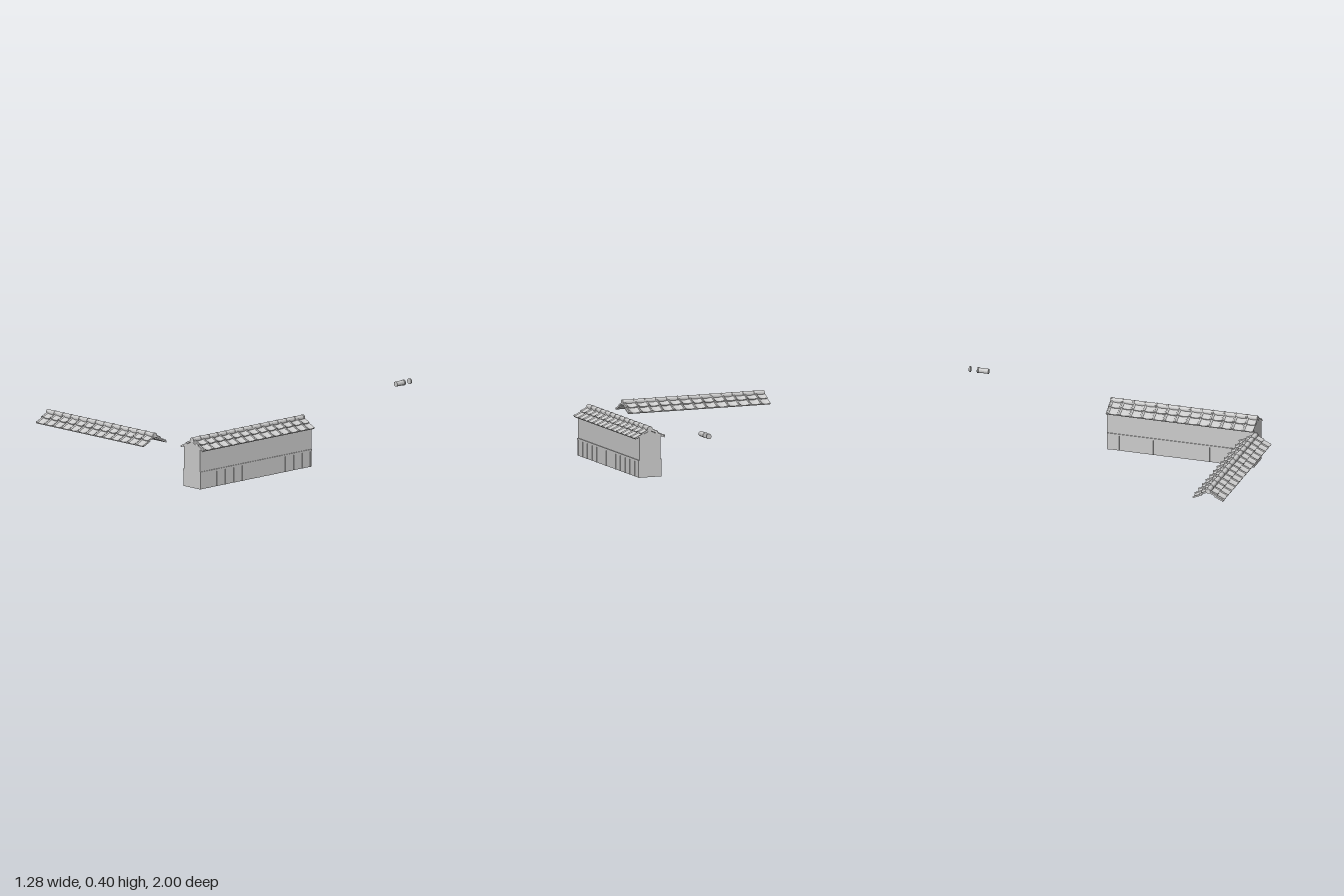
import * as THREE from 'three';
import { toCreasedNormals } from 'three/addons/utils/BufferGeometryUtils.js';

const material = new THREE.MeshStandardMaterial({ color: 0xcccccc, side: THREE.DoubleSide });
const COUNT = 13, PITCH = 0.0717, LENGTH = COUNT * PITCH;
const SLOPE = Math.atan(0.5);
const RIDGE_Y = 0.293;

function add(parent, name, geometry, x = 0, y = 0, z = 0) {
  const mesh = new THREE.Mesh(geometry, material);
  mesh.name = name;
  mesh.position.set(x, y, z);
  parent.add(mesh);
  return mesh;
}

// Pan tile: a roll near one edge, a sagging pan, a flat underside
function tileGeometry(length) {
  const shape = new THREE.Shape();
  shape.moveTo(0, -0.009);
  shape.lineTo(PITCH, -0.009);
  shape.lineTo(PITCH, 0.001);
  shape.quadraticCurveTo(0.045, -0.009, 0.019, 0.001);
  shape.absarc(0.013, 0.001, 0.006, 0, Math.PI, false);
  shape.lineTo(0, 0);
  shape.closePath();
  const g = new THREE.ExtrudeGeometry(shape, { depth: length, bevelEnabled: false, curveSegments: 8 });
  return toCreasedNormals(g, 0.7);
}

// Revolved ridge tile lying along local z, with a raised collar at one end
function ridgeGeometry(length) {
  const profile = [[0, 0], [0.0155, 0], [0.0155, length - 0.01], [0.0175, length - 0.009],
    [0.0175, length - 0.001], [0.0165, length], [0, length]];
  const g = new THREE.LatheGeometry(profile.map(p => new THREE.Vector2(...p)), 20);
  g.rotateX(Math.PI / 2);
  return toCreasedNormals(g, 0.6);
}

const upperTile = tileGeometry(0.058);
const lowerTile = tileGeometry(0.061);
const ridgeTile = ridgeGeometry(PITCH);
const eaveRoll = new THREE.CylinderGeometry(0.0068, 0.0068, 0.006, 14).rotateX(Math.PI / 2);

// One slope: two overlapping courses of tiles
function makeSlope() {
  const slope = new THREE.Group();
  slope.name = 'roofSlope';
  for (let i = 0; i < COUNT; i++) {
    const x = -LENGTH / 2 + i * PITCH;
    const upper = add(slope, 'upperTile', upperTile, x, 0.001, 0);
    const lower = add(slope, 'lowerTile', lowerTile, x, -0.003, 0.049);
    upper.rotation.x = lower.rotation.x = -0.05;
    add(slope, 'eaveRoll', eaveRoll, x + 0.013, 0.001, 0.109);
  }
  slope.rotation.x = SLOPE;
  return slope;
}

// Gabled roof running along x, with the ridge on its axis
function makeRoof(name) {
  const roof = new THREE.Group();
  roof.name = name;
  for (const turn of [0, Math.PI]) {
    const side = new THREE.Group();
    side.name = 'roofSide';
    side.add(makeSlope());
    side.position.y = RIDGE_Y;
    side.rotation.y = turn;
    roof.add(side);
  }
  for (let i = 0; i < COUNT; i++) {
    const tile = add(roof, 'ridgeTile', ridgeTile, -LENGTH / 2 + i * PITCH, RIDGE_Y, 0);
    tile.rotation.y = Math.PI / 2;
  }
  return roof;
}

// Wall running along x: gabled core, base panels, battens and rail
function makeWall() {
  const wall = new THREE.Group();
  wall.name = 'wall';
  const half = 0.07;
  const shape = new THREE.Shape([[-half, 0], [half, 0], [half, 0.25], [0, 0.283], [-half, 0.25]]
    .map(p => new THREE.Vector2(...p)));
  const core = new THREE.ExtrudeGeometry(shape, { depth: LENGTH, bevelEnabled: false });
  core.translate(0, 0, -LENGTH / 2).rotateY(Math.PI / 2);
  add(wall, 'wallCore', core);
  const panel = new THREE.BoxGeometry(LENGTH, 0.1, 0.003);
  const rail = new THREE.BoxGeometry(LENGTH, 0.012, 0.006);
  const batten = new THREE.BoxGeometry(0.012, 0.098, 0.005);
  for (const s of [-1, 1]) {
    add(wall, 'basePanel', panel, 0, 0.05, s * half);
    add(wall, 'baseRail', rail, 0, 0.101, s * (half + 0.002));
    for (let i = 0; i <= COUNT; i++) {
      const x = THREE.MathUtils.clamp(-LENGTH / 2 + i * PITCH, -LENGTH / 2 + 0.006, LENGTH / 2 - 0.006);
      add(wall, 'baseBatten', batten, x, 0.049, s * (half + 0.0015));
    }
  }
  return wall;
}

export function createModel() {
  const model = new THREE.Group();
  model.name = 'tiledWallKit';

  // Complete wall with its roof, running along z
  const roofedWall = new THREE.Group();
  roofedWall.name = 'roofedWall';
  roofedWall.add(makeWall(), makeRoof('wallRoof'));
  roofedWall.rotation.y = Math.PI / 2;
  roofedWall.position.set(0.539, 0, 0.362);
  model.add(roofedWall);

  // Separate roof section, running along x
  const looseRoof = makeRoof('looseRoof');
  looseRoof.position.set(-0.176, 0, 0.897);
  model.add(looseRoof);

  // Spare ridge tile and its end cap
  const spare = add(model, 'spareRidgeTile', ridgeTile, 0.539, 0.379, -0.877);
  spare.rotation.y = Math.PI;
  const cap = new THREE.CylinderGeometry(0.0165, 0.0175, 0.009, 20).rotateX(-Math.PI / 2);
  add(model, 'spareEndCap', cap, 0.539, 0.379, -0.9955);
  return model;
}
